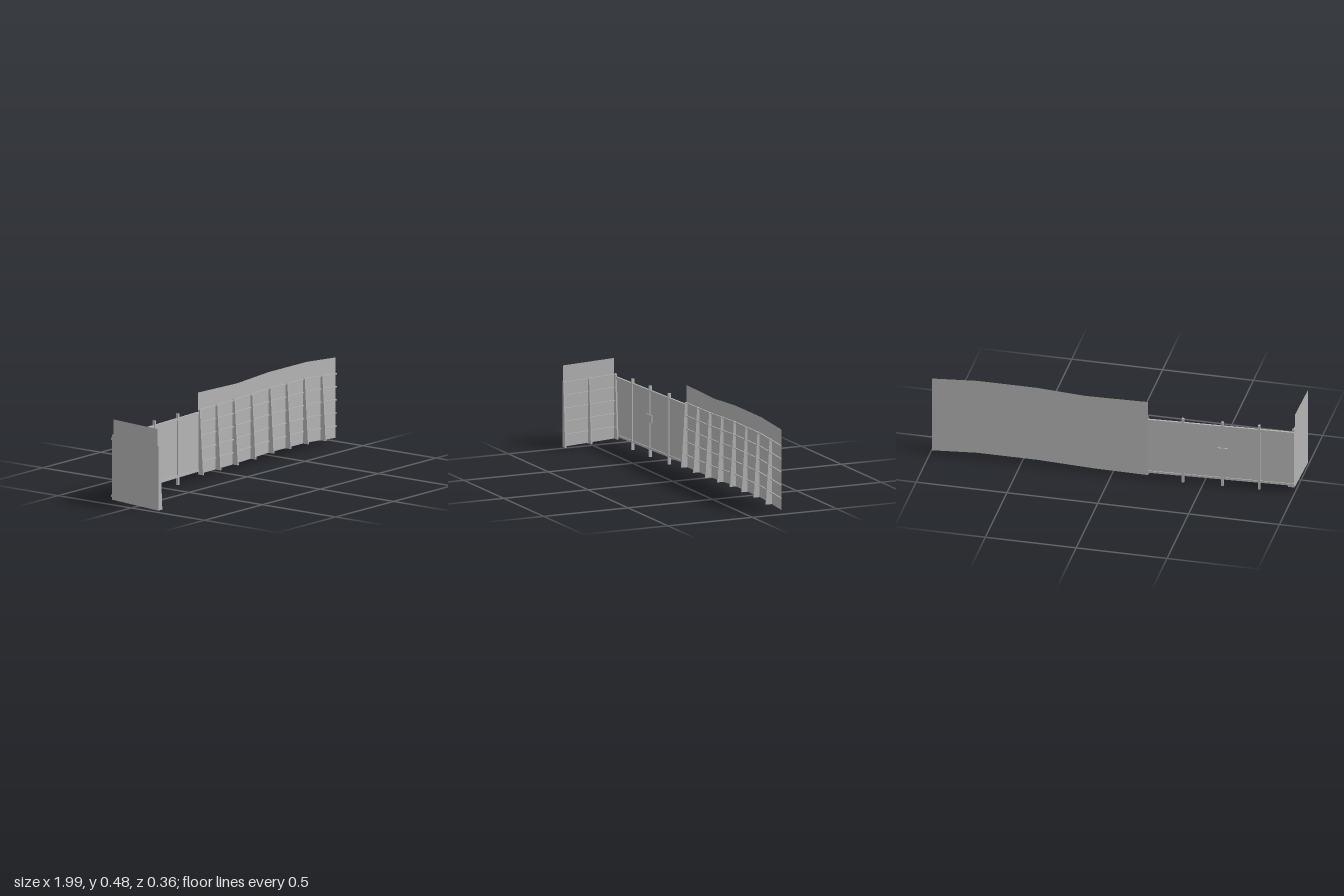
import * as THREE from 'three';

const grey = new THREE.MeshStandardMaterial({ color: 0xb4b4b4, side: THREE.DoubleSide });
grey.name = 'grey';

function add(parent, geometry, name) {
  const mesh = new THREE.Mesh(geometry, grey);
  mesh.name = name;
  parent.add(mesh);
  return mesh;
}

// height of a polyline [[x, y], ...] at x
function heightAt(line, x) {
  let i = 0;
  while (i < line.length - 2 && x > line[i + 1][0]) i++;
  const [x0, y0] = line[i], [x1, y1] = line[i + 1];
  return y0 + (y1 - y0) * (x - x0) / (x1 - x0);
}

// thin upright sheet between two polylines with the same x values
function sheet(low, high) {
  const s = new THREE.Shape();
  low.forEach(([x, y], i) => (i ? s.lineTo(x, y) : s.moveTo(x, y)));
  [...high].reverse().forEach(([x, y]) => s.lineTo(x, y));
  return new THREE.ShapeGeometry(s);
}

const raise = (line, dy) => line.map(([x, y]) => [x, y + dy]);

// wall along local x, ribs and rails facing local +z
function wall(name, base, screenTop, postXs) {
  const g = new THREE.Group();
  g.name = name;
  const top = raise(base, 0.36);
  add(g, sheet(base, top), 'lowerPanel');
  add(g, sheet(top, screenTop), 'upperScreen');

  // rails follow the base line
  for (const dy of [0.065, 0.137, 0.209, 0.281, 0.352]) {
    const s = sheet(raise(base, dy - 0.003), raise(base, dy + 0.003));
    s.dispose();
    const shape = new THREE.Shape([
      ...raise(base, dy - 0.003), ...raise(base, dy + 0.003).reverse(),
    ].map(([x, y]) => new THREE.Vector2(x, y)));
    const geo = new THREE.ExtrudeGeometry(shape, { depth: 0.007, bevelEnabled: false });
    add(g, geo, 'rail').position.z = 0.001;
  }

  // posts taper towards the top
  for (const x of postXs) {
    const y = heightAt(base, x);
    const geo = new THREE.BoxGeometry(0.009, 0.357, 1).translate(0, 0.1785, 0.5);
    const p = geo.attributes.position;
    for (let i = 0; i < p.count; i++) {
      if (p.getZ(i) > 0.5) p.setZ(i, p.getY(i) > 0.1 ? 0.013 : 0.035);
    }
    geo.computeVertexNormals();
    add(g, geo, 'taperedPost').position.set(x, y, 0);
  }
  return g;
}

export function createModel() {
  const model = new THREE.Group();
  model.name = 'barrier';

  // long ribbed wall
  const longWall = wall('longWall',
    [[-0.2, 0.023], [0.1, 0.026], [0.41, 0.038], [0.74, 0.038], [0.99, 0.021]],
    [[-0.2, 0.472], [0.14, 0.465], [0.41, 0.48], [0.74, 0.48], [0.99, 0.462]],
    [-0.195, -0.045, 0.105, 0.257, 0.414, 0.561, 0.711, 0.863]);
  longWall.position.z = -0.178;
  model.add(longWall);

  // short wall returning to the front
  const sideWall = wall('sideWall',
    [[-0.177, 0.009], [0.125, 0.026]],
    [[-0.177, 0.455], [0.125, 0.468]],
    [-0.177, -0.025, 0.13]);
  sideWall.rotation.y = Math.PI / 2;
  sideWall.position.x = -0.996;
  model.add(sideWall);

  // plain gate section joining the two walls
  const gate = new THREE.Group();
  gate.name = 'gate';
  const dx = 0.795, dz = -0.041, length = Math.hypot(dx, dz);
  gate.position.set(-0.995 + dx / 2, 0, -0.135 + dz / 2);
  gate.rotation.y = Math.atan2(-dz, dx);
  model.add(gate);
  const box = (name, w, h, d, x, y) =>
    add(gate, new THREE.BoxGeometry(w, h, d), name).position.set(x, y, 0);
  box('gatePanel', length, 0.32, 0.003, 0, 0.205);
  box('gateTopRail', length, 0.012, 0.012, 0, 0.36);
  box('gateBottomRail', length, 0.012, 0.012, 0, 0.046);
  for (const x of [-0.805, -0.605, -0.39]) box('gatePost', 0.012, 0.39, 0.015, x + 0.5975, 0.195);
  box('latch', 0.056, 0.044, 0.018, -0.0075, 0.21);

  return model;
}
